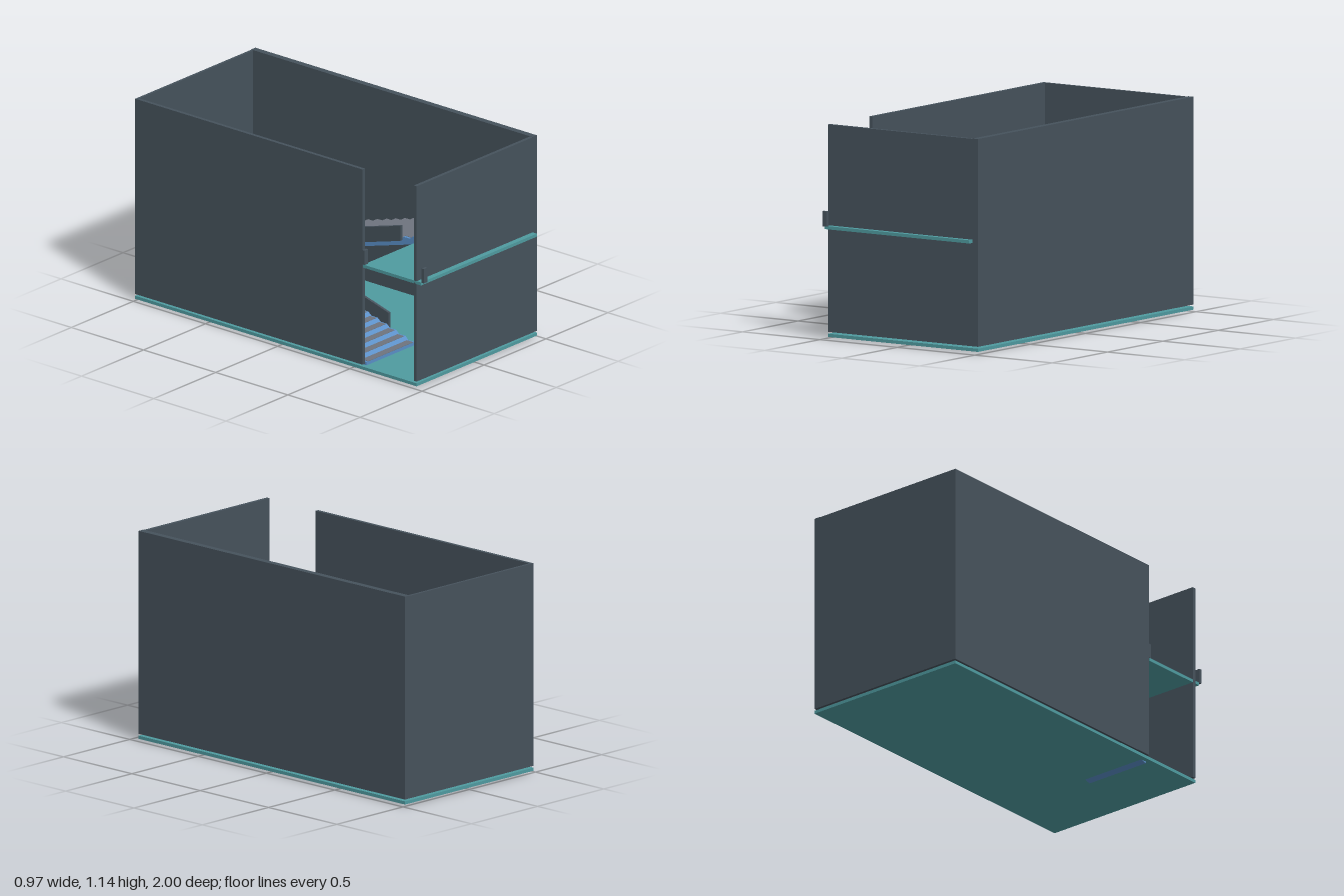
import * as THREE from 'three';

const mat = (color) => new THREE.MeshStandardMaterial({ color, flatShading: true });
const WALL = mat(0x46525c), SLAB = mat(0x4f9ba0), STEP = mat(0x5a8fc8), TREAD = mat(0x6e747e);

const STEPS = 15, RISE = 0.018, GOING = 0.064, TREAD_DEPTH = 0.044;
const SLOPE = RISE / GOING;

// box given by its min and max on each axis
function block(parent, name, material, x0, x1, y0, y1, z0, z1) {
  const mesh = new THREE.Mesh(new THREE.BoxGeometry(x1 - x0, y1 - y0, z1 - z0), material);
  mesh.position.set((x0 + x1) / 2, (y0 + y1) / 2, (z0 + z1) / 2);
  mesh.name = name;
  parent.add(mesh);
}

// side profile (run, height) extruded across a width, centred on it
function profile(parent, name, material, points, x0, x1) {
  const shape = new THREE.Shape(points.map(([s, y]) => new THREE.Vector2(s, y)));
  const geo = new THREE.ExtrudeGeometry(shape, { depth: x1 - x0, bevelEnabled: false });
  geo.translate(0, 0, -(x1 - x0) / 2).rotateY(-Math.PI / 2); // run now goes along +z
  geo.translate((x0 + x1) / 2, 0, 0);
  const mesh = new THREE.Mesh(geo, material);
  mesh.name = name;
  parent.add(mesh);
}

// flight rising along local +z from its own floor level at y = 0
function flight(name, body, tread, rail, railRun) {
  const group = new THREE.Group();
  group.name = name;
  const length = STEPS * GOING;
  const pts = [[0, -0.027], [length, -0.027 + length * SLOPE]];
  const top = [[0, RISE]];
  for (let i = 0; i < STEPS; i++) {
    const y = (i + 1) * RISE, s = i * GOING;
    top.push([s + TREAD_DEPTH, y], [s + GOING, y + RISE]);
    block(group, 'tread', TREAD, tread[0], tread[1], y - 0.002, y + 0.002, s, s + TREAD_DEPTH);
  }
  profile(group, 'flightBody', STEP, pts.concat(top.reverse()), body[0], body[1]);
  // sloping balustrade on the inner side
  const [a, b] = railRun;
  profile(group, 'balustrade', WALL, [
    [a, a * SLOPE], [b, b * SLOPE], [b, b * SLOPE + 0.085], [a, a * SLOPE + 0.085],
  ], rail[0], rail[1]);
  return group;
}

export function createModel() {
  const model = new THREE.Group();

  // floor and landings
  block(model, 'groundFloor', SLAB, -0.485, 0.485, 0.01, 0.027, -1, 0.95);
  block(model, 'backLanding', SLAB, -0.465, 0.45, 0.298, 0.315, -0.985, -0.38);
  block(model, 'frontLanding', SLAB, -0.485, 0.45, 0.586, 0.603, 0.58, 0.98);

  // enclosing walls, with an opening at the front of the right side
  block(model, 'leftWall', WALL, 0.45, 0.485, 0.037, 1.14, -1, 0.95);
  block(model, 'rightWall', WALL, -0.485, -0.465, 0.037, 1.138, -1, 0.575);
  block(model, 'backWall', WALL, -0.465, 0.45, 0.037, 1.138, -1, -0.985);
  block(model, 'frontWall', WALL, -0.485, 0.45, 0.037, 1.138, 0.93, 0.95);

  // short posts either side of the opening
  for (const z of [0.575, 0.985])
    block(model, 'openingPost', WALL, -0.485, -0.457, 0.603, 0.684, z, z + 0.015);

  // lower flight climbs to the back, upper flight returns to the front
  const lower = flight('lowerFlight', [0.07, 0.458], [0.082, 0.445], [0.055, 0.07], [0.18, 0.78]);
  lower.rotation.y = Math.PI;
  lower.position.set(0, 0.027, 0.58);
  const upper = flight('upperFlight', [0.065, 0.45], [0.08, 0.449], [0.047, 0.065], [0.16, 0.76]);
  upper.position.set(0, 0.315, -0.38);
  model.add(lower, upper);

  return model;
}
